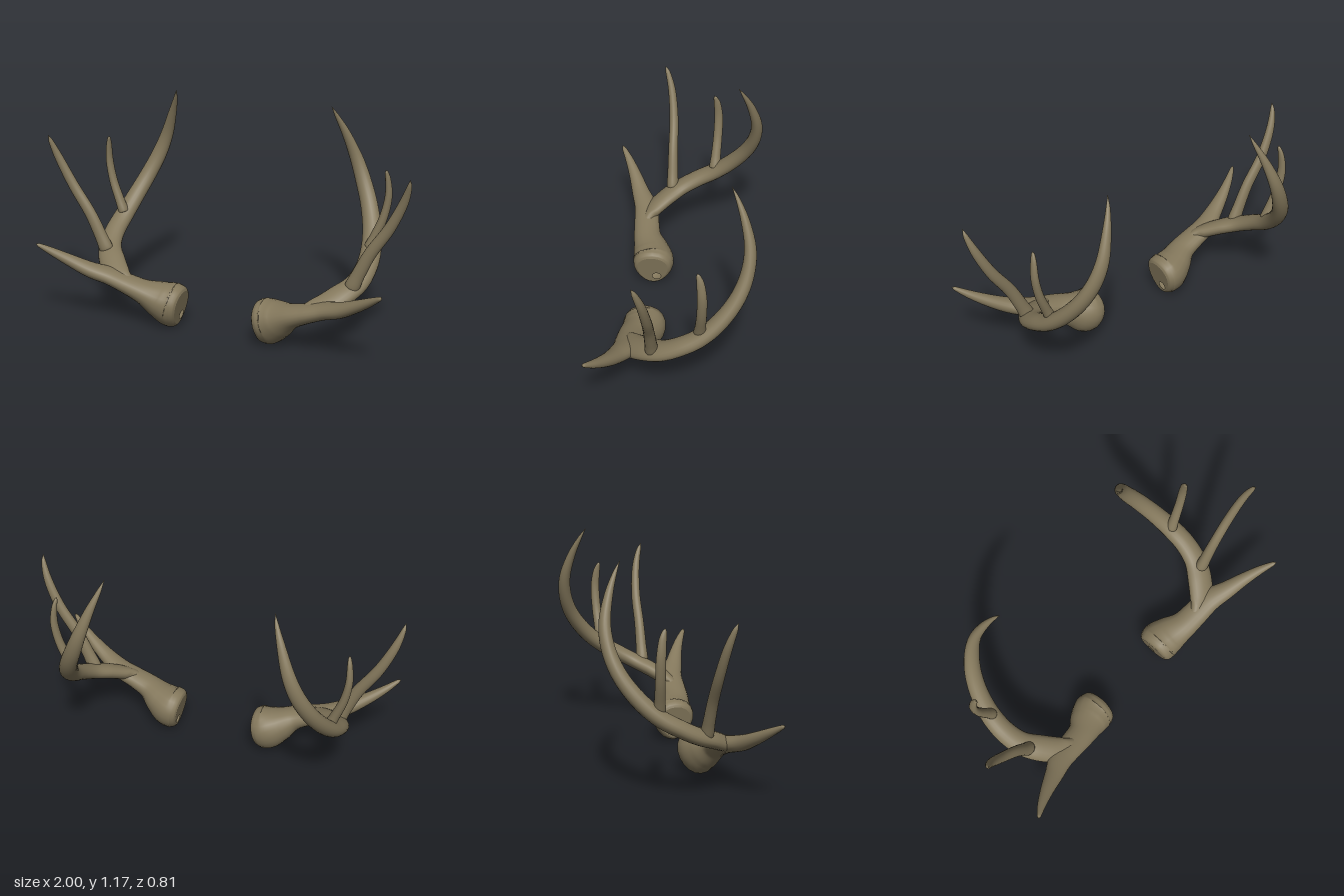
import * as THREE from 'three';

const SIDES = 20;

// Points round a section; a positive egg widens the upper half and narrows the lower.
function sectionPoints(a, b, egg) {
  return Array.from({ length: SIDES }, (_, j) => {
    const angle = (j / SIDES) * Math.PI * 2, s = Math.sin(angle);
    return new THREE.Vector2(Math.cos(angle) * a * (1 + egg * s), s * b);
  });
}

// Sweeps a section through stations [x, y, z, half width along ref, other half width].
function sweep(stations, ref, steps, egg = 0) {
  const path = new THREE.CatmullRomCurve3(stations.map(s => new THREE.Vector3(s[0], s[1], s[2])));
  const radii = new THREE.CatmullRomCurve3(stations.map((s, i) => new THREE.Vector3(s[3], s[4], i * 0.05)));
  const positions = [], index = [];
  for (let i = 0; i <= steps; i++) {
    const t = i / steps;
    const p = path.getPoint(t), tangent = path.getTangent(t), r = radii.getPoint(t);
    const u = ref.clone().addScaledVector(tangent, -ref.dot(tangent)).normalize();
    const v = u.clone().cross(tangent);
    const ring = sectionPoints(Math.max(r.x, 0.001), Math.max(r.y, 0.001), egg * (1 - t));
    ring.forEach((c, j) => {
      const q = p.clone().addScaledVector(u, c.x).addScaledVector(v, c.y);
      positions.push(q.x, q.y, q.z);
      if (i < steps) {
        const k = (j + 1) % SIDES;
        const a = i * SIDES + j, b = i * SIDES + k;
        index.push(a, a + SIDES, b, b, a + SIDES, b + SIDES);
      }
    });
  }
  const geometry = new THREE.BufferGeometry();
  geometry.setAttribute('position', new THREE.Float32BufferAttribute(positions, 3));
  geometry.setIndex(index);
  geometry.computeVertexNormals();
  return geometry;
}

// Flat end face of the base with a small off-centre socket
function baseFace(a, b, egg, center, axis) {
  const shape = new THREE.Shape(sectionPoints(a, b, egg));
  const socket = new THREE.Path();
  socket.absarc(-0.022, -0.048, 0.024, 0, Math.PI * 2, true);
  shape.holes.push(socket);
  const u = new THREE.Vector3(0, 0, 1), v = u.clone().cross(axis);
  const matrix = new THREE.Matrix4().makeBasis(u, v, axis.clone().negate()).setPosition(center);
  return new THREE.ShapeGeometry(shape, 6).applyMatrix4(matrix);
}

export function createModel() {
  const antlerBone = new THREE.MeshStandardMaterial({ color: 0x84785c, side: THREE.DoubleSide });
  antlerBone.name = 'antlerBone';
  const X = new THREE.Vector3(1, 0, 0), Z = new THREE.Vector3(0, 0, 1);

  const egg = 0.2;
  const baseAxis = new THREE.Vector3(0.985, 0.17, 0).normalize();
  const baseStart = new THREE.Vector3(0.221, 0.120, 0.169);
  const alongBase = (d, a, b) => [...baseStart.clone().addScaledVector(baseAxis, d).toArray(), a, b];

  const parts = {
    baseFace: baseFace(0.084, 0.094, egg, baseStart, baseAxis),
    // Flared base running out into the forward tine
    baseAndBrowTine: sweep([
      alongBase(0, 0.084, 0.094),
      alongBase(0.008, 0.097, 0.107),
      alongBase(0.028, 0.107, 0.117),
      alongBase(0.065, 0.112, 0.121),
      [0.345, 0.157, 0.186, 0.100, 0.098],
      [0.420, 0.197, 0.213, 0.077, 0.064],
      [0.500, 0.229, 0.224, 0.071, 0.051],
      [0.600, 0.265, 0.235, 0.066, 0.044],
      [0.700, 0.302, 0.275, 0.050, 0.040],
      [0.800, 0.357, 0.317, 0.035, 0.031],
      [0.880, 0.408, 0.358, 0.023, 0.021],
      [0.938, 0.449, 0.395, 0.011, 0.010],
      [0.950, 0.457, 0.403, 0.001, 0.001],
    ], Z, 84, egg),
    // Main beam, curling back and then inward
    mainBeam: sweep([
      [0.470, 0.228, 0.232, 0.030, 0.028],
      [0.565, 0.264, 0.208, 0.065, 0.038],
      [0.645, 0.312, 0.130, 0.070, 0.042],
      [0.701, 0.353, 0.045, 0.063, 0.042],
      [0.722, 0.405, -0.050, 0.058, 0.043],
      [0.717, 0.465, -0.150, 0.055, 0.043],
      [0.690, 0.553, -0.245, 0.050, 0.042],
      [0.645, 0.665, -0.325, 0.046, 0.039],
      [0.595, 0.780, -0.368, 0.042, 0.035],
      [0.550, 0.895, -0.377, 0.035, 0.030],
      [0.500, 1.030, -0.346, 0.023, 0.021],
      [0.460, 1.130, -0.305, 0.011, 0.010],
      [0.442, 1.180, -0.278, 0.001, 0.001],
    ], X, 72),
    // Tall outer tine
    outerTine: sweep([
      [0.694, 0.350, 0.092, 0.001, 0.001],
      [0.697, 0.356, 0.092, 0.032, 0.038],
      [0.730, 0.430, 0.093, 0.030, 0.035],
      [0.788, 0.550, 0.095, 0.027, 0.032],
      [0.885, 0.700, 0.097, 0.025, 0.029],
      [0.957, 0.850, 0.114, 0.021, 0.023],
      [0.988, 0.945, 0.139, 0.013, 0.012],
      [0.994, 0.980, 0.153, 0.001, 0.001],
    ], Z, 48),
    // Shorter rear tine
    rearTine: sweep([
      [0.708, 0.488, -0.146, 0.001, 0.001],
      [0.710, 0.493, -0.147, 0.030, 0.027],
      [0.738, 0.560, -0.152, 0.027, 0.025],
      [0.777, 0.665, -0.159, 0.025, 0.022],
      [0.798, 0.780, -0.161, 0.024, 0.019],
      [0.794, 0.870, -0.152, 0.019, 0.014],
      [0.788, 0.910, -0.141, 0.010, 0.008],
      [0.787, 0.921, -0.137, 0.001, 0.001],
    ], Z, 48),
  };

  // Mirrored pair
  const model = new THREE.Group();
  model.name = 'antlers';
  for (const side of [1, -1]) {
    const antler = new THREE.Group();
    antler.name = side > 0 ? 'leftAntler' : 'rightAntler';
    for (const [name, geometry] of Object.entries(parts)) {
      const mesh = new THREE.Mesh(geometry, antlerBone);
      mesh.name = name;
      antler.add(mesh);
    }
    antler.scale.x = side;
    model.add(antler);
  }
  return model;
}
